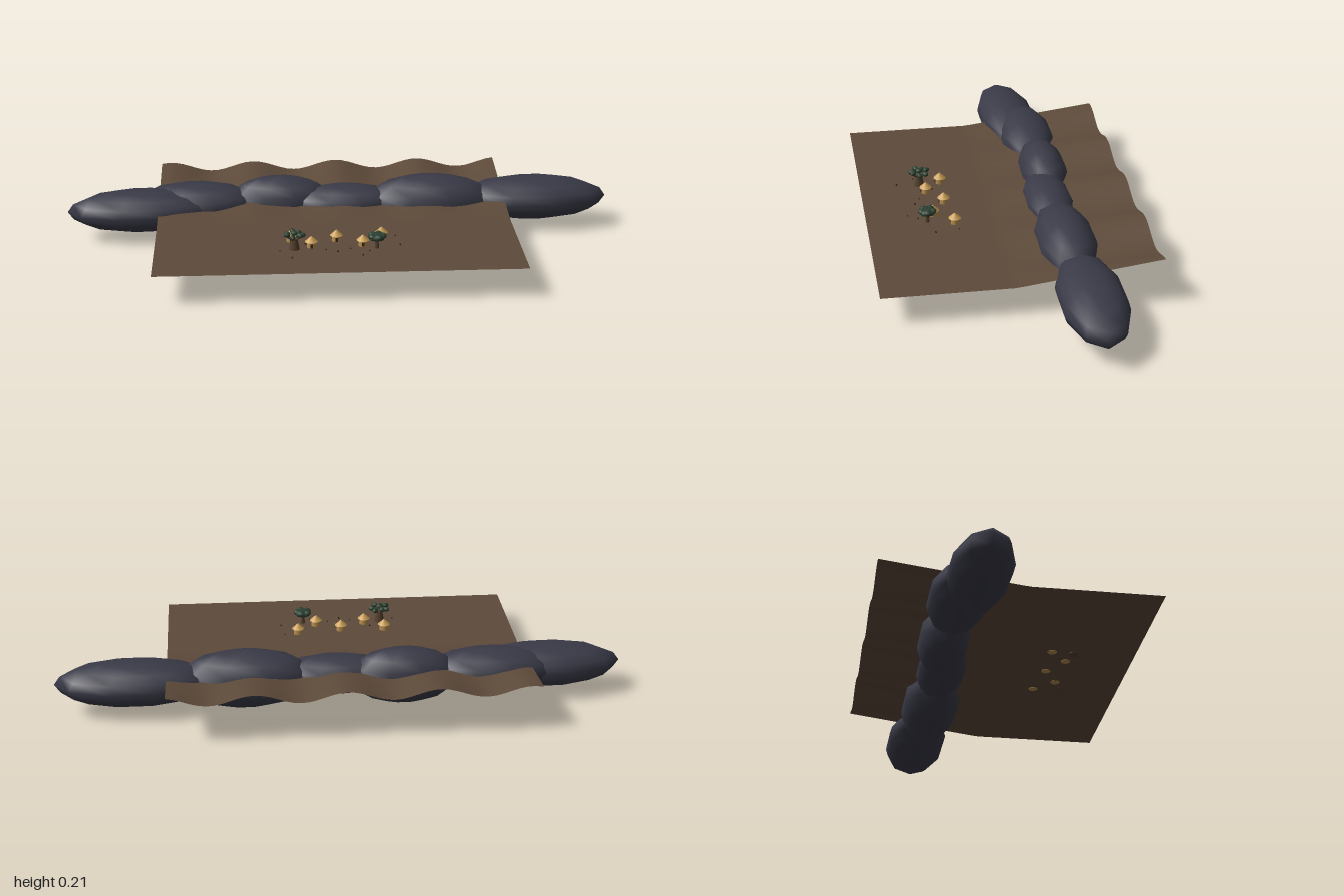
import * as THREE from 'three';

const mat = (name, color, side = THREE.FrontSide) => {
  const m = new THREE.MeshStandardMaterial({ color, side });
  m.name = name;
  return m;
};

const GROUND_Y = 0.108;

export function createModel() {
  const root = new THREE.Group();
  root.name = 'villageBelowHills';

  const earth = mat('earth brown', 0x5d4a3a, THREE.DoubleSide);
  const rock = mat('slate rock', 0x3a3a48);
  const thatch = mat('thatch', 0xc89c50);
  const clay = mat('hut wall', 0xb88e50);
  const bark = mat('bark', 0x54402e);
  const leaf = mat('dark leaves', 0x2a4030);
  const dark = mat('dark wood', 0x33261c);

  const add = (parent, name, geometry, material, x = 0, y = 0, z = 0) => {
    const mesh = new THREE.Mesh(geometry, material);
    mesh.name = name;
    mesh.position.set(x, y, z);
    parent.add(mesh);
    return mesh;
  };
  const group = (name, x, z) => {
    const g = new THREE.Group();
    g.name = name;
    g.position.set(x, GROUND_Y, z);
    root.add(g);
    return g;
  };

  // Ground sheet: flat in front, rising in ripples towards the back
  const ground = new THREE.PlaneGeometry(1.275, 0.955, 48, 32);
  ground.rotateX(-Math.PI / 2);
  ground.translate(-0.0275, 0, -0.0025);
  const p = ground.attributes.position;
  for (let i = 0; i < p.count; i++) {
    const rise = Math.max(0, 0.02 - p.getZ(i));
    p.setY(i, GROUND_Y + rise * (0.1 + 0.034 * Math.sin(p.getX(i) * 20 + 1.6)));
  }
  ground.computeVertexNormals();
  add(root, 'ground', ground, earth);

  // Ridge: a row of stretched boulders [x, y, z, rx, ry, rz, yaw]
  const boulder = new THREE.SphereGeometry(1, 10, 8);
  [
    [-0.725, 0.107, -0.157, 0.275, 0.077, 0.11, 0.03],
    [-0.53, 0.115, -0.2, 0.23, 0.078, 0.105, 0],
    [-0.22, 0.108, -0.212, 0.2, 0.102, 0.09, 0],
    [0.02, 0.11, -0.19, 0.21, 0.07, 0.09, 0],
    [0.335, 0.106, -0.195, 0.25, 0.104, 0.107, 0],
    [0.72, 0.111, -0.21, 0.28, 0.08, 0.115, 0],
  ].forEach(([x, y, z, rx, ry, rz, yaw], i) => {
    const hill = add(root, 'ridgeBoulder' + (i + 1), boulder, rock, x, y, z);
    hill.scale.set(rx, ry, rz);
    hill.rotation.y = yaw;
  });

  // Round huts with conical thatched roofs
  const wall = new THREE.CylinderGeometry(0.016, 0.017, 0.024, 10);
  const roof = new THREE.ConeGeometry(0.023, 0.021, 10);
  const door = new THREE.BoxGeometry(0.008, 0.014, 0.002);
  [[-0.19, 0.18], [-0.03, 0.185], [0.13, 0.165], [-0.12, 0.24], [0.06, 0.235]]
    .forEach(([x, z], i) => {
      const hut = group('hut' + (i + 1), x, z);
      add(hut, 'wall', wall, clay, 0, 0.0105, 0);
      add(hut, 'roof', roof, thatch, 0, 0.031, 0);
      add(hut, 'door', door, dark, 0, 0.0085, 0.0165);
    });

  // Branching tree: flared trunk, forked limbs, a leaf clump on each tip
  const clump = new THREE.SphereGeometry(1, 8, 6);
  const big = group('branchingTree', -0.18, 0.257);
  add(big, 'trunk', new THREE.CylinderGeometry(0.011, 0.019, 0.042, 8), bark, 0, 0.02, 0);
  for (let i = 0; i < 7; i++) {
    const a = (i / 7) * Math.PI * 2;
    const dx = Math.cos(a), dz = Math.sin(a);
    const limb = new THREE.LineCurve3(
      new THREE.Vector3(dx * 0.004, 0.034, dz * 0.004),
      new THREE.Vector3(dx * 0.027, 0.05, dz * 0.027));
    add(big, 'limb', new THREE.TubeGeometry(limb, 1, 0.003, 5), bark);
    const tip = add(big, 'leafClump', clump, leaf,
      dx * 0.027, 0.052 + (i % 2) * 0.006, dz * 0.027);
    tip.scale.set(0.013, 0.009, 0.009);
    tip.rotation.y = -a;
  }
  add(big, 'crownCentre', clump, leaf, 0, 0.06, 0).scale.set(0.012, 0.009, 0.012);

  // Round tree: thin trunk under a flattened crown
  const round = group('roundTree', 0.107, 0.26);
  add(round, 'trunk', new THREE.CylinderGeometry(0.005, 0.008, 0.036, 7), bark, 0, 0.017, 0);
  add(round, 'crown', clump, leaf, 0, 0.041, 0).scale.set(0.032, 0.014, 0.032);
  for (let i = 0; i < 5; i++) {
    const a = i * Math.PI * 0.4;
    add(round, 'crownLobe', clump, leaf, Math.cos(a) * 0.02, 0.045, Math.sin(a) * 0.02)
      .scale.set(0.014, 0.01, 0.014);
  }

  // Small stumps and stones scattered around the huts
  const stump = new THREE.CylinderGeometry(0.003, 0.004, 0.006, 6);
  [[-0.19, 0.34], [-0.07, 0.27], [0.055, 0.325], [0.19, 0.24], [0.18, 0.155],
    [-0.23, 0.275], [-0.14, 0.215], [0.015, 0.265], [0.08, 0.29], [-0.03, 0.29]]
    .forEach(([x, z], i) => {
      const s = add(root, 'stump', stump, dark, x, GROUND_Y + 0.002, z);
      s.scale.setScalar(i % 3 ? 0.65 : 0.9);
    });

  return root;
}
